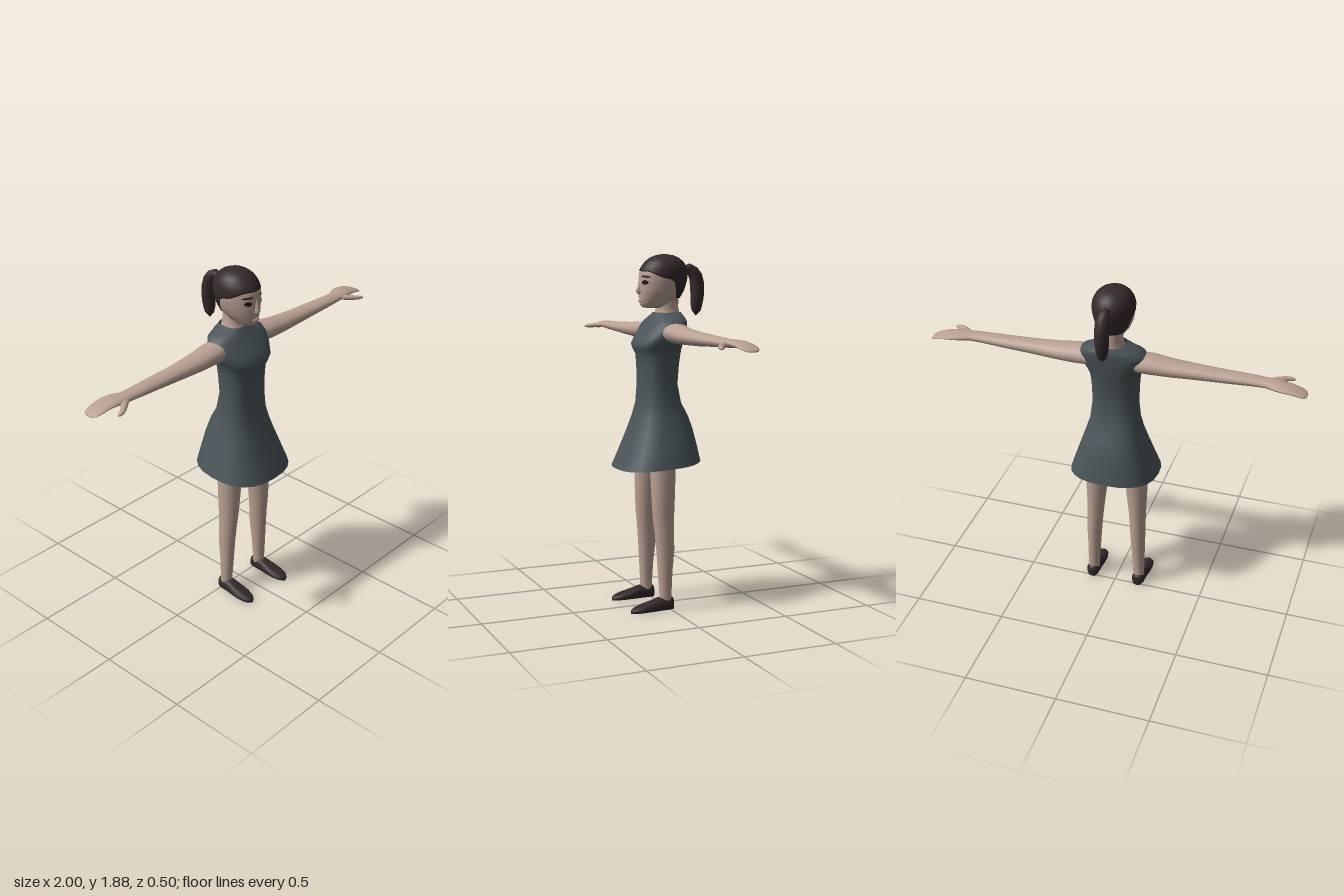
import * as THREE from 'three';

const mat = (name, color, side = THREE.FrontSide) => {
  const m = new THREE.MeshStandardMaterial({ color, side });
  m.name = name;
  return m;
};

// Closed-ring surface: fn(angle, row) returns [x, y, z]
function rings(fn, rows, seg = 18) {
  const pos = [], idx = [];
  for (let j = 0; j < rows; j++)
    for (let i = 0; i < seg; i++) pos.push(...fn((i / seg) * Math.PI * 2, j));
  for (let j = 0; j < rows - 1; j++)
    for (let i = 0; i < seg; i++) {
      const k = (i + 1) % seg, a = j * seg + i, b = j * seg + k;
      idx.push(a, b, b + seg, a, b + seg, a + seg);
    }
  const g = new THREE.BufferGeometry();
  g.setAttribute('position', new THREE.Float32BufferAttribute(pos, 3));
  g.setIndex(idx);
  g.computeVertexNormals();
  return g;
}

function mirrored(g) {
  const m = g.clone().scale(-1, 1, 1), ix = m.index.array;
  for (let i = 0; i < ix.length; i += 3) [ix[i], ix[i + 1]] = [ix[i + 1], ix[i]];
  m.computeVertexNormals();
  return m;
}

const pw = (v, e) => Math.sign(v) * Math.abs(v) ** e;

// Upright loft, sections [y, xCentre, halfWidth, zFront, zBack]
const upright = (s, e = 1, lift = () => 0, seg = 18) => rings((a, j) => {
  const [y, x, w, f, b] = s[j];
  return [x + w * pw(Math.sin(a), e), y + lift(a, j), (f + b) / 2 + ((f - b) / 2) * pw(Math.cos(a), e)];
}, s.length, seg);

// Sideways loft, sections [x, yCentre, halfHeight, zCentre, halfDepth]
const sideways = (s) => rings((a, j) => {
  const [x, y, h, z, d] = s[j];
  return [x, y + h * Math.cos(a), z + d * Math.sin(a)];
}, s.length, 14);

// Head outline: [y, halfWidth, zFront, zBack]
const HEAD = [
  [1.597, 0.0, 0.06, 0.05], [1.6, 0.032, 0.098, -0.03], [1.615, 0.052, 0.112, -0.06], [1.65, 0.076, 0.117, -0.105],
  [1.69, 0.093, 0.12, -0.128], [1.74, 0.103, 0.118, -0.143], [1.78, 0.105, 0.114, -0.148],
  [1.81, 0.1, 0.101, -0.142], [1.84, 0.084, 0.077, -0.122], [1.86, 0.063, 0.05, -0.097],
  [1.873, 0.037, 0.018, -0.065], [1.879, 0, -0.02, -0.025],
];
function headAt(y) {
  let i = 0;
  while (i < HEAD.length - 2 && y > HEAD[i + 1][0]) i++;
  const t = THREE.MathUtils.clamp((y - HEAD[i][0]) / (HEAD[i + 1][0] - HEAD[i][0]), 0, 1);
  return HEAD[i].map((v, k) => v + (HEAD[i + 1][k] - v) * t);
}
function headPoint(a, y, grow = 0) {
  const [, w, f, b] = headAt(y);
  const d = (f - b) / 2;
  return [(w + grow) * Math.sin(a), y, (f + b) / 2 + (d + grow) * Math.cos(a)];
}
// Hairline height around the head, low at the nape
function hairline(a) {
  const t = Math.abs(a > Math.PI ? a - Math.PI * 2 : a) / Math.PI;
  const { smoothstep } = THREE.MathUtils;
  return 1.79 - 0.04 * smoothstep(t, 0.15, 0.5) - 0.1 * smoothstep(t, 0.52, 0.72);
}
// Thin oval lying on the face
const facePatch = (cx, cy, w, h, tilt = 0) => rings((a, j) => {
  const r = 1 - j / 2, dx = w * r * Math.cos(a);
  const x = cx + dx, y = cy + h * r * Math.sin(a) + tilt * dx;
  const [, hw, f, b] = headAt(y);
  return [x, y, (f + b) / 2 + ((f - b) / 2) * Math.sqrt(1 - (x / hw) ** 2) + 0.004];
}, 3, 12);

export function createModel() {
  const skin = mat('skin', 0xbaa194), cloth = mat('dressCloth', 0x4a5458, THREE.DoubleSide);
  const hairMat = mat('hair', 0x352a2a), shoeMat = mat('shoeLeather', 0x32292a), eyeMat = mat('eye', 0x181414);
  const model = new THREE.Group();
  const add = (name, g, m) => {
    const mesh = new THREE.Mesh(g, m);
    mesh.name = name;
    model.add(mesh);
  };
  const pair = (name, g, m) => {
    add(name + 'Left', g, m);
    add(name + 'Right', mirrored(g), m);
  };

  // Head, hair cap and ponytail
  const N = 18;
  add('face', rings((a, j) => headPoint(a, 1.597 + (hairline(a) + 0.006 - 1.597) * (j / N) ** 1.2), N + 1, 28), skin);
  add('hair', rings((a, j) => {
    const y0 = hairline(a), t = Math.max(0, j - 1) / N;
    return headPoint(a, y0 + (1.879 - y0) * (1 - (1 - t) ** 1.6), j === 0 ? -0.004 : j > N ? 0 : 0.004);
  }, N + 2, 28), hairMat);
  const tail = new THREE.CatmullRomCurve3([
    [-0.12, 1.785], [-0.165, 1.805], [-0.205, 1.76], [-0.215, 1.68], [-0.21, 1.61], [-0.207, 1.552],
  ].map(([z, y]) => new THREE.Vector3(0, y, z)));
  const tailR = [0.02, 0.02, 0.025, 0.032, 0.036, 0.038, 0.037, 0.035, 0.031, 0.024, 0];
  add('ponytail', rings((a, j) => {
    const t = j / (tailR.length - 1), p = tail.getPoint(t), d = tail.getTangent(t), r = tailR[j];
    return [r * Math.sin(a), p.y - r * Math.cos(a) * d.z, p.z + r * Math.cos(a) * d.y];
  }, tailR.length, 14), hairMat);

  // Facial features
  pair('eye', facePatch(0.048, 1.733, 0.017, 0.012), eyeMat);
  pair('eyebrow', facePatch(0.048, 1.763, 0.026, 0.006, -0.08), hairMat);
  add('nose', upright([
    [1.668, 0, 0, 0.118, 0.11], [1.674, 0, 0.014, 0.13, 0.1], [1.686, 0, 0.015, 0.14, 0.1],
    [1.71, 0, 0.01, 0.129, 0.1], [1.75, 0, 0.006, 0.118, 0.1],
  ], 1, undefined, 10), skin);
  const lips = new THREE.SphereGeometry(1, 12, 8).scale(0.024, 0.008, 0.008).translate(0, 1.637, 0.114);
  add('lips', lips, skin);

  // Neck
  add('neck', upright([
    [1.52, 0, 0.08, 0.045, -0.11], [1.57, 0, 0.062, 0.028, -0.105],
    [1.6, 0, 0.053, 0.022, -0.1], [1.66, 0, 0.054, 0.025, -0.1],
  ]), skin);

  // Dress, hem dipping towards the front
  const dress = [
    [0.775, 0, 0.238, 0.25, -0.198], [0.85, 0, 0.214, 0.215, -0.184], [0.95, 0, 0.18, 0.173, -0.163],
    [1.03, 0, 0.153, 0.143, -0.138], [1.1, 0, 0.132, 0.124, -0.1], [1.2, 0, 0.121, 0.117, -0.08],
    [1.3, 0, 0.124, 0.119, -0.088], [1.355, 0, 0.128, 0.124, -0.096], [1.385, 0, 0.134, 0.14, -0.101],
    [1.41, 0, 0.148, 0.146, -0.106], [1.45, 0, 0.168, 0.122, -0.112], [1.5, 0, 0.178, 0.085, -0.117],
    [1.53, 0, 0.168, 0.062, -0.12], [1.55, 0, 0.12, 0.05, -0.12], [1.575, 0, 0.066, 0.034, -0.11],
  ];
  add('dress', upright(dress, 0.8, (a, j) => [-0.02, -0.012, -0.005][j] * Math.cos(a) || 0, 24), cloth);

  // Shorts under the skirt
  add('shortsSeat', upright([
    [0.83, 0, 0, 0.04, 0.03], [0.84, 0, 0.1, 0.09, -0.06], [0.9, 0, 0.15, 0.115, -0.11], [1.04, 0, 0.14, 0.11, -0.1],
  ]), cloth);
  pair('shortsLeg', upright([
    [0.79, 0.108, 0.073, 0.108, -0.044], [0.86, 0.1, 0.08, 0.113, -0.07], [0.94, 0.085, 0.08, 0.11, -0.09],
  ], 1, (a, j) => (j ? 0 : 0.022 * Math.cos(a * 6))), cloth);

  // Legs and shoes
  pair('leg', upright([
    [0.04, 0.134, 0.032, 0.058, -0.006], [0.09, 0.133, 0.032, 0.06, -0.006], [0.2, 0.13, 0.036, 0.067, -0.012],
    [0.32, 0.127, 0.041, 0.074, -0.024], [0.42, 0.123, 0.044, 0.082, -0.024], [0.5, 0.12, 0.048, 0.091, -0.025],
    [0.62, 0.115, 0.057, 0.096, -0.031], [0.75, 0.109, 0.066, 0.101, -0.036], [0.9, 0.1, 0.07, 0.1, -0.05],
  ]), skin);
  const shoe = [
    [-0.015, 0.134, 0, 0.05], [-0.013, 0.134, 0.025, 0.065], [0.005, 0.135, 0.035, 0.07], [0.065, 0.136, 0.038, 0.07],
    [0.11, 0.137, 0.043, 0.056], [0.16, 0.138, 0.043, 0.043], [0.2, 0.139, 0.034, 0.031],
    [0.22, 0.139, 0.018, 0.022], [0.227, 0.139, 0, 0.014],
  ];
  pair('shoe', rings((a, j) => {
    const [z, x, w, h] = shoe[j], low = 1 - 0.15 * Math.max(0, Math.cos(a));
    return [x - w * low * pw(Math.sin(a), 0.7), (h / 2) * (1 + pw(Math.cos(a), 0.7)), z];
  }, shoe.length, 16), shoeMat);

  // Arms with mitten hands and thumbs
  pair('arm', sideways([
    [0.12, 1.475, 0.05, -0.02, 0.07], [0.2, 1.473, 0.051, -0.016, 0.074], [0.3, 1.466, 0.043, -0.013, 0.066],
    [0.45, 1.464, 0.036, -0.01, 0.054], [0.6, 1.465, 0.029, -0.01, 0.049], [0.72, 1.466, 0.024, -0.008, 0.044],
    [0.79, 1.466, 0.021, -0.01, 0.042], [0.83, 1.468, 0.02, -0.018, 0.054], [0.87, 1.467, 0.018, -0.026, 0.056],
    [0.92, 1.462, 0.014, -0.03, 0.053], [0.96, 1.453, 0.01, -0.03, 0.05], [0.985, 1.446, 0.007, -0.03, 0.042],
    [0.997, 1.442, 0.005, -0.03, 0.028], [1.0, 1.441, 0, -0.03, 0],
  ]), skin);
  pair('thumb', sideways([
    [0.79, 1.465, 0.008, 0.01, 0.015], [0.83, 1.464, 0.014, 0.034, 0.024], [0.86, 1.46, 0.013, 0.058, 0.021],
    [0.885, 1.457, 0.011, 0.076, 0.016], [0.91, 1.454, 0.008, 0.084, 0.01], [0.922, 1.453, 0, 0.085, 0],
  ]), skin);

  return model;
}
